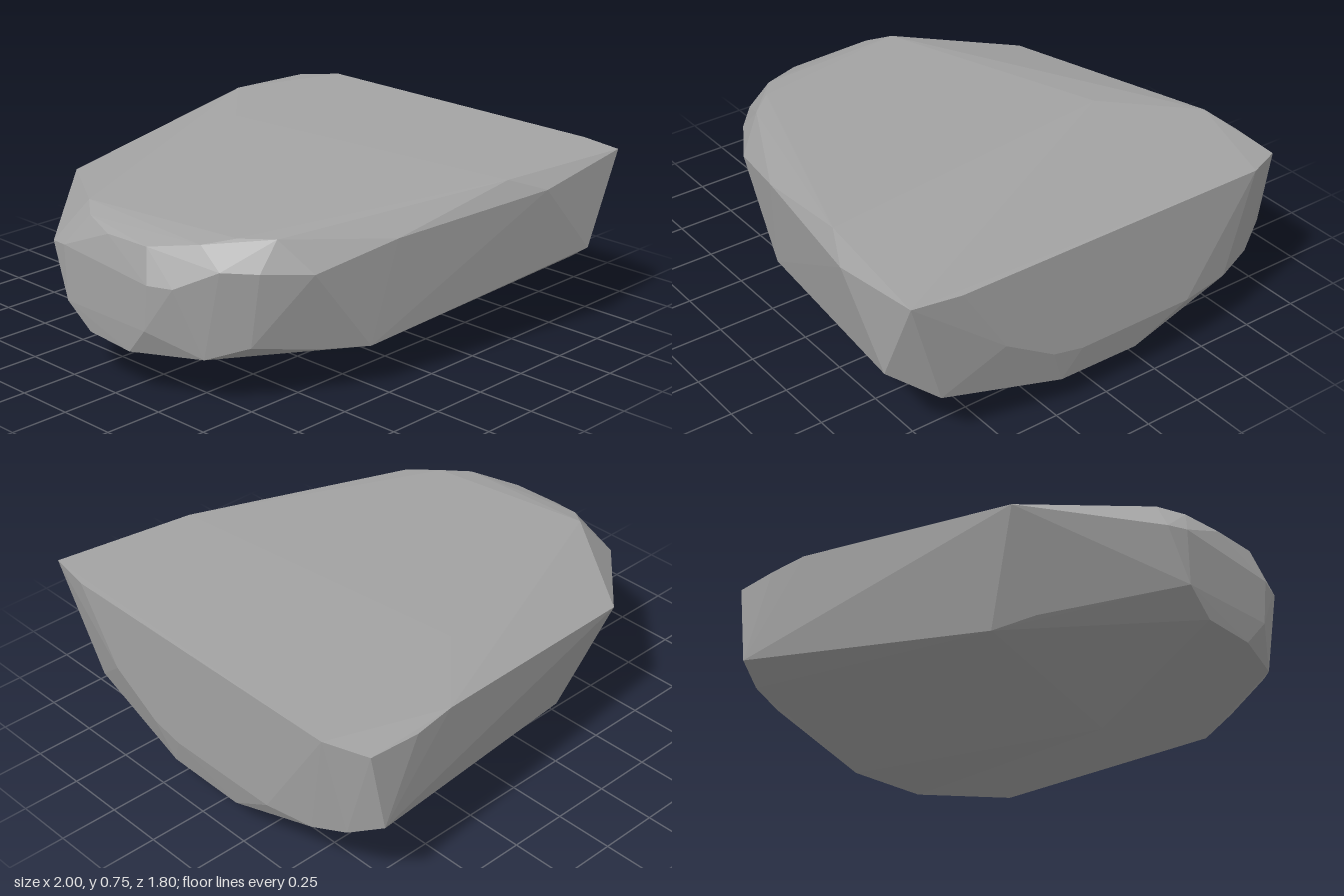
import * as THREE from 'three';
import { ConvexGeometry } from 'three/addons/geometries/ConvexGeometry.js';

// Corners of the stone, grouped by the area they bound
const topRim = [
  [0.965, 0.75, 0.9], [1, 0.75, 0.7], [1, 0.75, -0.72], [0.92, 0.73, -0.89],
  [0.7, 0.73, -0.905], [0.52, 0.745, -0.89], [0.2, 0.748, -0.57],
  [-0.86, 0.69, -0.29], [-0.93, 0.665, -0.2], [-0.97, 0.635, -0.05],
  [-0.96, 0.635, 0.16], [-0.86, 0.665, 0.35], [-0.75, 0.682, 0.43],
  [-0.65, 0.68, 0.54], [0.35, 0.742, 0.82],
];
const sides = [
  // front
  [0.51, 0.68, 0.895], [-0.21, 0.625, 0.75], [-0.57, 0.55, 0.66],
  [-0.75, 0.57, 0.55], [-0.86, 0.58, 0.45], [-0.96, 0.5, 0.3],
  // narrow end
  [-1, 0.5, 0.2], [-1, 0.31, 0.18], [-1, 0.54, -0.28], [-1, 0.31, -0.27],
  // back
  [-0.98, 0.53, -0.37], [-0.54, 0.63, -0.76],
  // broad end
  [1, 0.44, 0.5], [1, 0.3, 0.27], [1, 0.27, 0.13], [1, 0.27, -0.4],
];
const lowerRim = [
  [0.79, 0.365, 0.9], [0.91, 0.25, 0.73], [0.965, 0.13, 0.2],
  [0.965, 0.125, -0.17], [0.97, 0.28, -0.62], [0.93, 0.32, -0.77],
  [0.86, 0.38, -0.9], [-0.34, 0.2, -0.66], [-0.5, 0.24, -0.58],
  [-0.99, 0.21, -0.15], [-0.99, 0.195, 0.08], [-0.87, 0.21, 0.37],
  [-0.75, 0.26, 0.5], [-0.5, 0.21, 0.6], [-0.29, 0.19, 0.69],
];
const keelPoint = [[-0.33, 0, -0.02]];

export function createModel() {
  const model = new THREE.Group();
  model.name = 'rock';

  const stoneGrey = new THREE.MeshStandardMaterial({ color: 0xa3a3a3, flatShading: true });
  stoneGrey.name = 'stone grey';

  // Faceted convex boulder with a flat top and a keeled underside
  const corners = [...topRim, ...sides, ...lowerRim, ...keelPoint]
    .map(([x, y, z]) => new THREE.Vector3(x, y, z));
  const boulder = new THREE.Mesh(new ConvexGeometry(corners), stoneGrey);
  boulder.name = 'boulder';
  model.add(boulder);

  return model;
}
